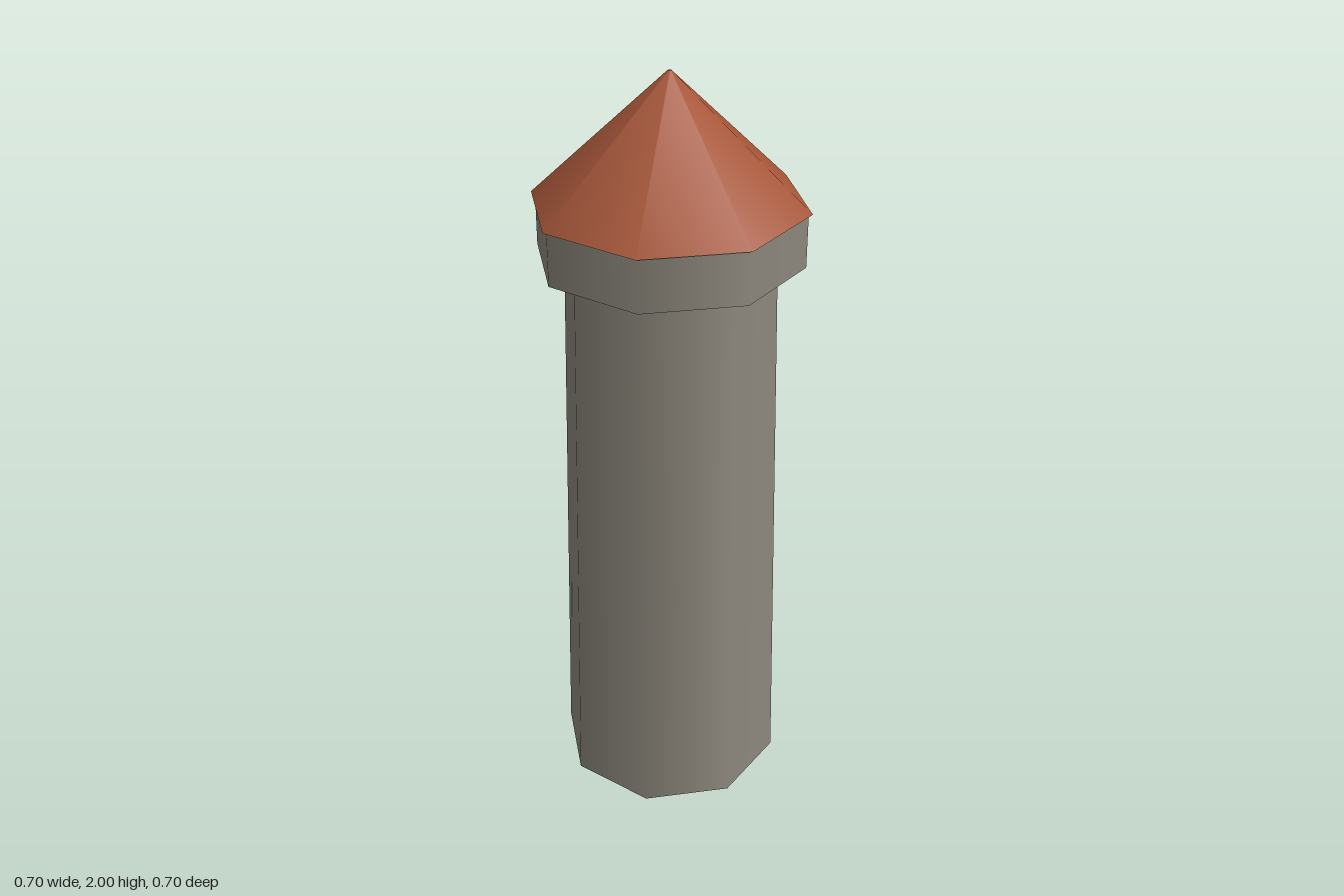
import * as THREE from 'three';

const SIDES = 8;

export function createModel() {
  const stone = new THREE.MeshStandardMaterial({ color: 0x8e897e });
  stone.name = 'grey stone';
  const tile = new THREE.MeshStandardMaterial({ color: 0xa65639 });
  tile.name = 'red roof tile';

  const tower = new THREE.Group();
  tower.name = 'tower';

  // Eight-sided tapered section standing between two heights, smooth around
  function section(name, bottomRadius, topRadius, y0, y1, material) {
    const geometry = new THREE.CylinderGeometry(topRadius, bottomRadius, y1 - y0, SIDES);
    const mesh = new THREE.Mesh(geometry, material);
    mesh.name = name;
    mesh.position.y = (y0 + y1) / 2;
    tower.add(mesh);
  }

  section('shaft', 0.305, 0.271, 0, 1.535, stone);
  section('collar', 0.341, 0.341, 1.533, 1.672, stone);
  // The roof ends in a tiny flat tip
  section('roof', 0.351, 0.005, 1.672, 2, tile);

  return tower;
}
